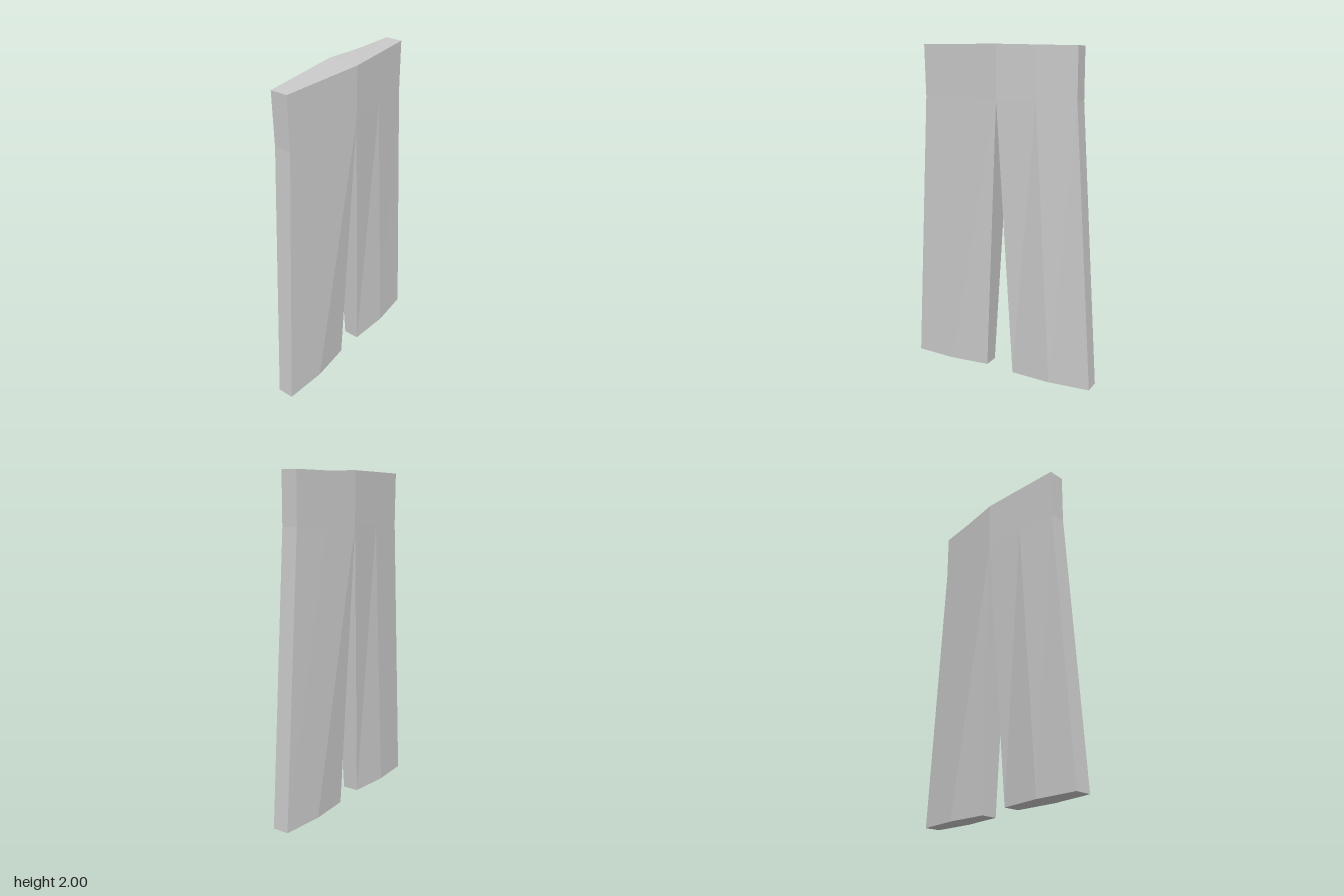
import * as THREE from 'three';

const material = new THREE.MeshStandardMaterial({ color: 0xcccccc, flatShading: true });

// Six-sided section: inner, middle and outer points [z, halfWidth], on both sides.
// dir = 1 for the front half, -1 for the back half.
function section(dir, y, points) {
  const side = (sx) => points.map(([z, w]) => new THREE.Vector3(sx * w, y, dir * z));
  const ring = [...side(-1), ...side(1).reverse()];
  return dir > 0 ? ring : ring.reverse();
}

// Joins a lower and an upper section, with optional inner wall and caps.
function loft(name, lower, upper, { innerWall = false, bottom = false, top = false }) {
  const tris = [];
  const n = lower.length;
  for (let i = 0; i < (innerWall ? n : n - 1); i++) {
    const j = (i + 1) % n;
    tris.push(lower[i], lower[j], upper[j], lower[i], upper[j], upper[i]);
  }
  for (let i = 1; i < n - 1; i++) {
    if (bottom) tris.push(lower[0], lower[i + 1], lower[i]);
    if (top) tris.push(upper[0], upper[i], upper[i + 1]);
  }
  const geometry = new THREE.BufferGeometry().setFromPoints(tris);
  geometry.computeVertexNormals();
  const mesh = new THREE.Mesh(geometry, material);
  mesh.name = name;
  return mesh;
}

export function createModel() {
  const trousers = new THREE.Group();
  trousers.name = 'trousers';
  const halves = [
    { name: 'front', dir: 1, hemY: 0.015, waistZ: 0.513, hipZ: 0.507, waistY: 2 },
    { name: 'back', dir: -1, hemY: 0, waistZ: 0.482, hipZ: 0.483, waistY: 1.99 },
  ];
  for (const { name, dir, hemY, waistZ, hipZ, waistY } of halves) {
    const hem = section(dir, hemY, [[0.09, 0.05], [0.345, 0.07], [0.6, 0.05]]);
    const crotch = section(dir, 1.69, [[0, 0.091], [hipZ / 2, 0.071], [hipZ, 0.05]]);
    const waist = section(dir, waistY, [[0, 0.092], [waistZ / 2, 0.071], [waistZ, 0.05]]);
    // the two halves meet at the same height along the centre line
    for (const p of waist) if (p.z === 0) p.y = 2;
    trousers.add(loft(name + 'Leg', hem, crotch, { innerWall: true, bottom: true }));
    trousers.add(loft(name + 'Hip', crotch, waist, { top: true }));
  }
  return trousers;
}
